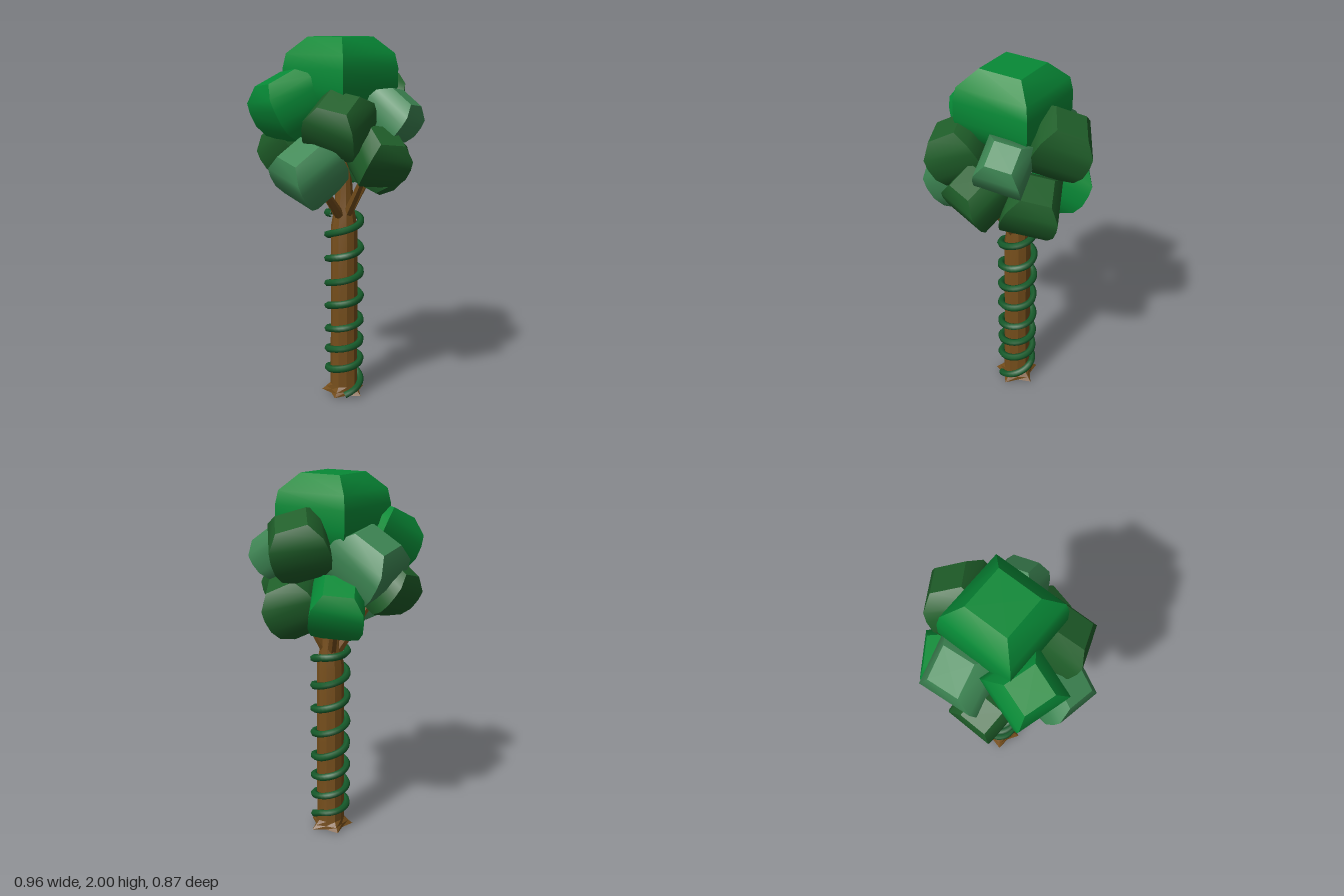
import * as THREE from 'three';
import { toCreasedNormals } from 'three/addons/utils/BufferGeometryUtils.js';

const V = (x, y, z) => new THREE.Vector3(x, y, z);
const mat = (name, color) => {
  const m = new THREE.MeshStandardMaterial({ color });
  m.name = name;
  return m;
};

// Unit foliage clump: a square block with a rounded side profile and flat caps
function clumpGeometry() {
  const profile = [[0, -1], [0.52, -1], [0.88, -0.6], [1, -0.2], [1, 0.25], [0.94, 0.6], [0.56, 1], [0, 1]]
    .map(([r, y]) => new THREE.Vector2(r * Math.SQRT2, y));
  const g = new THREE.LatheGeometry(profile, 4).rotateY(Math.PI / 4);
  return toCreasedNormals(g, 0.65);
}

// Trunk: ten-sided sections [y, radius, star amount], flaring into root points
function trunkGeometry(cx, cz) {
  const rings = [[0.015, 0.105, 0.022], [0.035, 0.092, 0.012], [0.06, 0.077, 0.002], [0.5, 0.075, 0],
    [0.98, 0.074, 0], [1.08, 0.056, 0], [1.25, 0.042, 0], [1.65, 0.03, 0]];
  const g = new THREE.CylinderGeometry(1, 1, 1, 10, rings.length - 1);
  const p = g.attributes.position;
  for (let i = 0; i < p.count; i++) {
    const row = Math.round((p.getY(i) + 0.5) * (rings.length - 1));
    const [y, r, star] = rings[row];
    const a = Math.atan2(p.getZ(i), p.getX(i));
    const s = Math.hypot(p.getX(i), p.getZ(i)) < 0.1 ? 0 : r + star * Math.sin(a * 5);
    p.setXYZ(i, cx + s * Math.cos(a), y, cz + s * Math.sin(a));
  }
  return toCreasedNormals(g, 0.45);
}

export function createModel() {
  const tree = new THREE.Group();
  tree.name = 'tree';
  const bark = mat('bark brown', 0x744d1b);
  const vineGreen = mat('vine green', 0x155a2a);
  const bright = mat('bright leaf green', 0x078936);
  const dark = mat('dark leaf green', 0x1f5e29);
  const light = mat('pale leaf green', 0x3e8754);
  const add = (name, geo, material) => {
    const m = new THREE.Mesh(geo, material);
    m.name = name;
    tree.add(m);
    return m;
  };

  const cx = 0.025, cz = -0.015;
  add('trunk', trunkGeometry(cx, cz), bark);

  // Vine: heights at each half turn, alternating left and right sides, starting an eighth turn in
  const heights = [-0.01, 0.12, 0.17, 0.225, 0.29, 0.34, 0.41, 0.46, 0.55, 0.6, 0.68, 0.745, 0.82, 0.88, 0.96, 1.04, 1.07];
  const path = [];
  const steps = 8;
  for (let i = 2; i <= (heights.length - 1) * steps; i++) {
    const k = Math.min(Math.floor(i / steps), heights.length - 2);
    const t = i / steps - k;
    const a = (i / steps) * Math.PI;
    path.push(V(cx - 0.092 * Math.cos(a), heights[k] + (heights[k + 1] - heights[k]) * t, cz + 0.092 * Math.sin(a)));
  }
  add('vine', new THREE.TubeGeometry(new THREE.CatmullRomCurve3(path), 240, 0.02, 6), vineGreen);

  // Foliage: [material, x, y, z, half size, yaw, outward tilt]
  const clumps = [
    [bright, -0.003, 1.79, -0.015, 0.215, 0, 0],
    [bright, -0.245, 1.65, -0.16, 0.152, -0.28, 0.45],
    [dark, -0.2, 1.565, 0.16, 0.142, 0.3, 0.55],
    [light, 0.115, 1.595, 0.24, 0.122, 0.2, 0.65],
    [dark, 0.265, 1.66, 0, 0.146, 0.63, 0.5],
    [light, 0.04, 1.55, -0.235, 0.163, 0.09, 0.58],
    [dark, -0.115, 1.42, -0.28, 0.13, -0.05, 0.65],
    [light, -0.3, 1.325, 0.042, 0.143, -0.22, 0.65],
    [bright, 0.19, 1.35, -0.175, 0.138, 0.55, 0.5],
    [dark, 0.178, 1.33, 0.105, 0.142, 0.5, 0.52],
    [dark, -0.025, 1.4, 0.255, 0.133, -0.33, 0.6],
  ];
  const clump = clumpGeometry();
  const up = V(0, 1, 0);
  clumps.forEach(([material, x, y, z, h, yaw, tilt], i) => {
    const m = add(i ? 'leafClump' : 'crownClump', clump, material);
    m.position.set(x, y, z);
    m.scale.set(h, i ? h * 1.08 : h, h);
    const tangent = V(z, 0, -x).normalize();
    m.quaternion.setFromAxisAngle(tangent, tilt).multiply(new THREE.Quaternion().setFromAxisAngle(up, yaw));
    if (y > 1.5) return;

    // Branch from the trunk top to each low clump
    const start = V(cx * 0.8 + x * 0.08, 1.04, cz + z * 0.08);
    const end = V(x * 0.9, y, z * 0.9);
    const dir = end.clone().sub(start);
    const b = add('branch', toCreasedNormals(new THREE.CylinderGeometry(0.014, 0.028, dir.length(), 6), 0.5), bark);
    b.position.copy(start).addScaledVector(dir, 0.5);
    b.quaternion.setFromUnitVectors(up, dir.normalize());
  });
  return tree;
}
